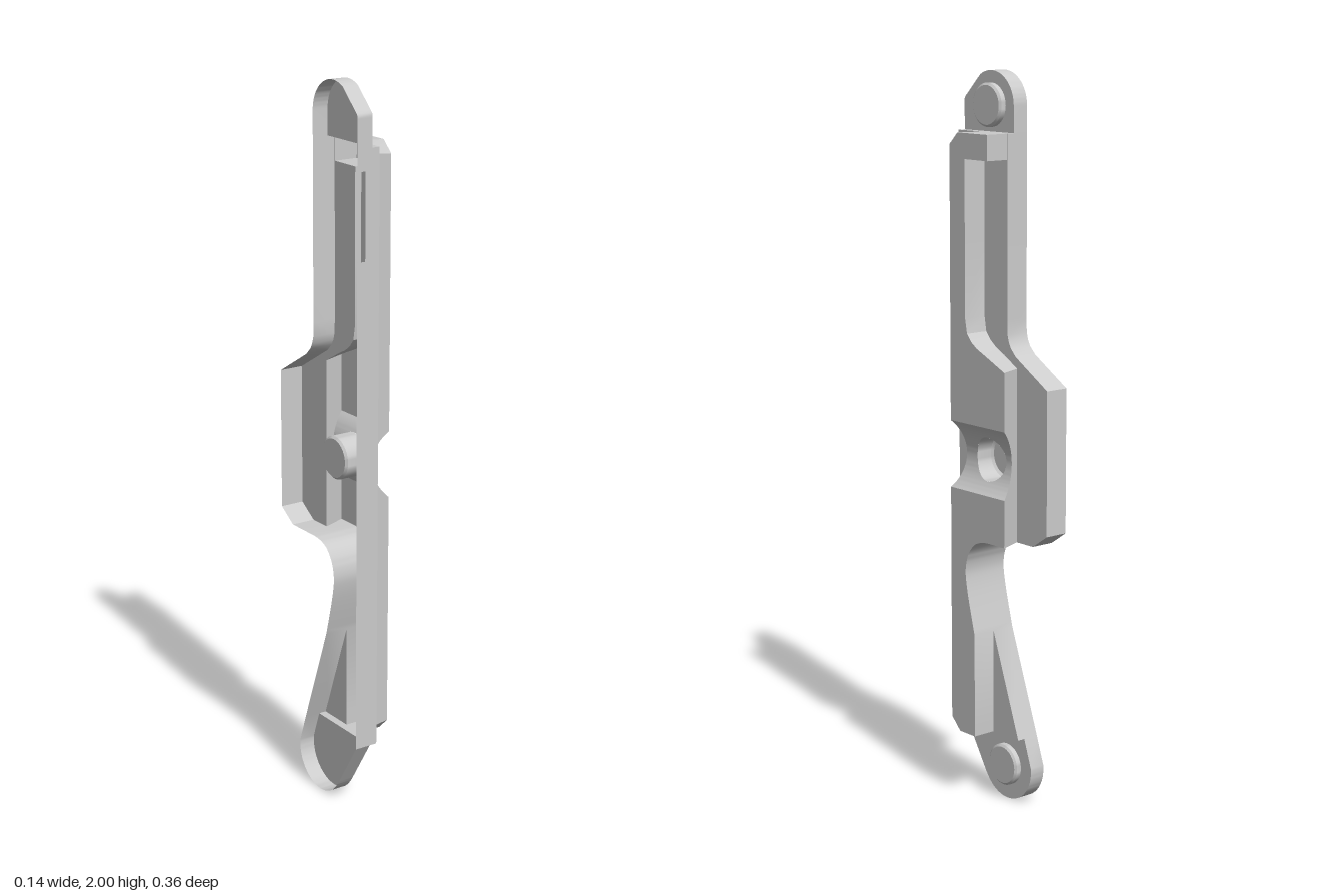
import * as THREE from 'three';
import { toCreasedNormals } from 'three/addons/utils/BufferGeometryUtils.js';

const BACK = -0.068, RAIL = 0.068, TAB = -0.022;
const HOLE = { y: 0.9725, z: 0.01, r: 0.06 };
const GROOVE = 0.0925; // half height of the cross groove
const grooveX = (y) => 0.155 - Math.sqrt(0.127 ** 2 - (y - HOLE.y) ** 2);
const lerp = THREE.MathUtils.lerp;
const material = new THREE.MeshStandardMaterial({ color: 0xcccccc, side: THREE.DoubleSide });

// One horizontal cross-section of the open-backed shell, from front rim to back rim.
// zF, zB: plate edges; zf0/zf1, zb0/zb1: rail edges at its foot and crown.
function section(y, o) {
  const s = { rim: BACK, level: 0, h: RAIL, zF: 0.18, zf0: 0.1, zf1: 0.135, ...o };
  s.zb0 ??= s.zb1;
  const t = Math.max(0, s.h / RAIL);
  const zf = lerp(s.zf0, s.zf1, t), zb = lerp(s.zb0, s.zb1, t);
  const dy = Math.abs(y - HOLE.y);
  const w = dy < HOLE.r ? Math.sqrt(HOLE.r ** 2 - dy ** 2) : 0;
  const mid = Math.min(zf, Math.max(zb, HOLE.z));
  const pts = [
    [s.rim, s.zF], [s.level, s.zF], [s.level, s.zf0], [s.h, zf], [s.h, mid + w],
    [s.h, mid - w], [s.h, zb], [s.level, s.zb0], [s.level, s.zB], [BACK, s.zB],
  ];
  return pts.map(([x, z]) => new THREE.Vector3(x, y, z));
}

// Tab cross-section: a plain shallow channel
function tabSection(y, zF, zB) {
  const m = (zF + zB) / 2;
  return section(y, { level: TAB, h: TAB, zF, zB, zf0: m, zf1: m, zb0: m, zb1: m });
}

// Skin the sections; the gap between points 4 and 5 is the hole
function loft(rows) {
  const pos = [];
  const tri = (a, b, c) => {
    const n = b.clone().sub(a).cross(c.clone().sub(a));
    if (n.length() > 1e-9) pos.push(...a, ...b, ...c);
  };
  for (let i = 0; i < rows.length - 1; i++) {
    const p = rows[i], q = rows[i + 1];
    for (let j = 0; j < p.length - 1; j++) {
      if (j === 4) continue;
      tri(p[j], p[j + 1], q[j + 1]);
      tri(p[j], q[j + 1], q[j]);
    }
  }
  const g = new THREE.BufferGeometry();
  g.setAttribute('position', new THREE.Float32BufferAttribute(pos, 3));
  return toCreasedNormals(g, 0.45);
}

function bodyRows() {
  const rows = [];
  const add = (y, o) => rows.push(section(y, o));

  // Lower tab
  for (let i = 0; i <= 24; i++) {
    const y = 0.1 - 0.1 * Math.cos((i / 24) * 1.68);
    const w = Math.sqrt(Math.max(0, 0.01 - (y - 0.1) ** 2));
    rows.push(tabSection(y, y < 0.045 ? 0.005 + w : lerp(0.09, 0.18, (y - 0.045) / 0.145), 0.005 - w));
  }
  rows.push(tabSection(0.19, 0.18, -0.067));

  // Lower arm with its chamfered rail end
  const low = (y, zB, o) => add(y, { zB, zb1: y < 0.6 ? Math.max(zB, 0.037) : zB, ...o });
  low(0.19, -0.067, { h: 0, zf1: 0.1 });
  low(0.19, -0.067, { zf1: 0.1 });
  low(0.225, -0.0545);
  low(0.48, 0.037);
  const arch = new THREE.SplineCurve([
    [0.037, 0.48], [0.058, 0.56], [0.071, 0.62], [0.074, 0.66], [0.064, 0.7], [0.04, 0.732], [0.01, 0.746], [-0.02, 0.75],
  ].map((p) => new THREE.Vector2(...p)));
  arch.getPoints(28).slice(1).forEach((p) => low(p.y, p.x));

  // Middle block with the cross groove
  const block = { zb0: -0.06, zb1: -0.087, zB: -0.18 };
  add(0.75, { ...block, zB: -0.125 });
  add(0.787, block);
  for (let i = 0; i <= 6; i++) {
    const y = HOLE.y - lerp(GROOVE, HOLE.r, i / 6);
    add(y, { ...block, h: grooveX(y) });
  }
  for (let i = 1; i <= 24; i++) {
    const y = HOLE.y - HOLE.r * Math.cos((i / 24) * Math.PI);
    add(y, { ...block, h: grooveX(y) });
  }
  for (let i = 1; i <= 6; i++) {
    const y = HOLE.y + lerp(HOLE.r, GROOVE, i / 6);
    add(y, { ...block, h: grooveX(y) });
  }
  add(1.18, block);

  // Shoulder narrowing into the upper arm
  [
    [1.225, -0.105, -0.06, -0.087], [1.255, -0.055, -0.008, -0.02], [1.275, -0.035, 0.03, 0.026],
    [1.29, -0.027, 0.05, 0.048], [1.31, -0.021, 0.066, 0.065], [1.35, -0.02, 0.073, 0.073],
  ].forEach(([y, zB, zb0, zb1]) => add(y, { zB, zb0, zb1 }));

  // Upper arm, rim notch and hook
  const arm = { zB: -0.02, zb1: 0.073 }, hook = { zB: -0.02, zb1: -0.018 }, rim = -0.043;
  add(1.55, arm);
  add(1.55, { ...arm, rim });
  add(1.772, { ...arm, rim });
  add(1.772, { ...hook, rim });
  add(1.782, { ...hook, rim });
  add(1.782, hook);
  add(1.808, hook);
  add(1.84, { ...hook, zf0: 0.085, zf1: 0.102 });
  add(1.84, { ...hook, zf0: 0.085, zf1: 0.102, h: 0 });

  // Upper tab
  rows.push(tabSection(1.84, 0.18, -0.02));
  rows.push(tabSection(1.91, 0.18, -0.02));
  for (let i = 1; i <= 24; i++) {
    const y = 1.91 + 0.09 * Math.sin((i / 24) * Math.PI / 2);
    const w = Math.sqrt(Math.max(0, 0.0081 - (y - 1.91) ** 2));
    rows.push(tabSection(y, y > 1.987 ? 0.07 + w : Math.min(0.18, 0.18 - (y - 1.925) * 1.03), 0.07 - w));
  }
  return rows;
}

// Round part turned about the x axis; profile is [radius, x]
function turned(profile) {
  const g = new THREE.LatheGeometry(profile.map((p) => new THREE.Vector2(...p)), 40);
  return g.rotateZ(-Math.PI / 2);
}

export function createModel() {
  const group = new THREE.Group();
  const add = (name, geometry, y = 0, z = 0) => {
    const mesh = new THREE.Mesh(geometry, material);
    mesh.name = name;
    mesh.position.set(0, y, z);
    group.add(mesh);
  };

  add('shellBody', loft(bodyRows()));

  // Bevelled pins on the tabs
  const pin = toCreasedNormals(turned([[0.058, TAB], [0.058, -0.008], [0.052, -0.003], [0, -0.003]]), 0.5);
  add('upperPin', pin, 1.91, 0.07);
  add('lowerPin', pin, 0.1, 0.005);

  // Blind socket, its mouth trimmed to the groove surface
  const socket = turned([[0, -0.025], [0.054, -0.025], [HOLE.r, -0.019], [HOLE.r, 0.03]]);
  const p = socket.attributes.position;
  for (let i = 0; i < p.count; i++) {
    if (p.getX(i) > 0.02) p.setX(i, grooveX(p.getY(i) + HOLE.y));
  }
  add('socket', toCreasedNormals(socket, 0.5), HOLE.y, HOLE.z);
  return group;
}
